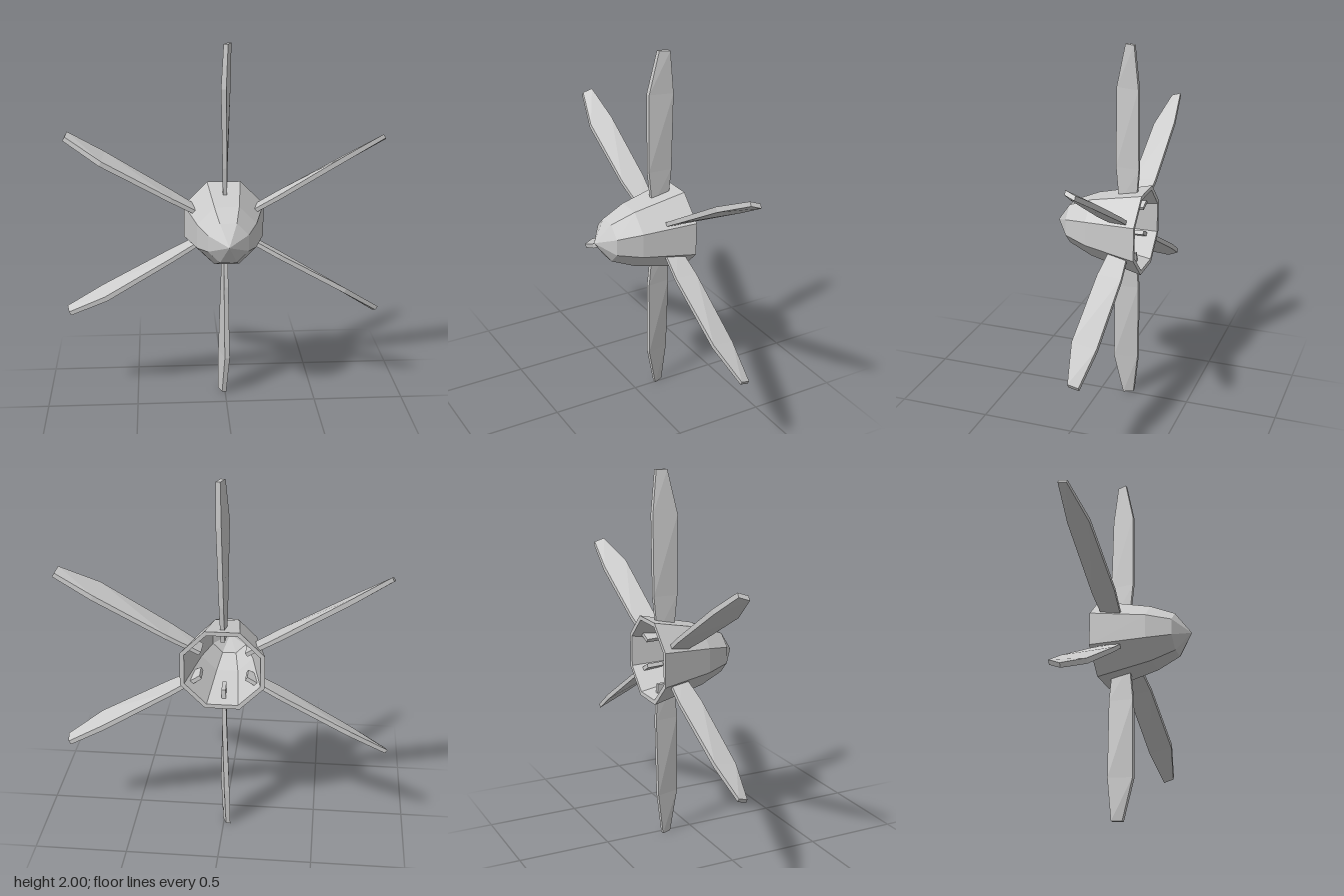
import * as THREE from 'three';

const material = new THREE.MeshStandardMaterial({ color: 0xcccccc, flatShading: true });

// Hollow eight-sided spinner: inner wall down to the rim, then outer wall up to the nose
function makeSpinner() {
  const toCorner = 1 / Math.cos(Math.PI / 8);
  const profile = [
    [0, 0.2], [0.09, 0.15], [0.14, 0.03], [0.2, -0.25],
    [0.223, -0.25], [0.16, 0.04], [0.108, 0.17], [0, 0.25],
  ].map(([flat, z]) => new THREE.Vector2(flat * toCorner, z));
  const geometry = new THREE.LatheGeometry(profile, 8, Math.PI / 8);
  geometry.rotateX(Math.PI / 2);
  return geometry;
}

// Twisted blade along +y, lofted through four-cornered sections
function makeBlade() {
  // radius, front z, back z, front x, back x, half thickness
  const sections = [
    [0.14, -0.1, -0.195, -0.002, 0.002, 0.011],
    [0.34, -0.08, -0.21, -0.004, 0.008, 0.012],
    [0.77, -0.08, -0.207, -0.01, 0.021, 0.014],
    [1.0, -0.13, -0.183, 0.005, 0.026, 0.012],
  ];
  const positions = [];
  const index = [];
  sections.forEach(([r, zf, zb, xf, xb, t], s) => {
    positions.push(xf - t, r, zf, xf + t, r, zf, xb + t, r, zb, xb - t, r, zb);
    if (s === 0) return;
    for (let i = 0; i < 4; i++) {
      const a = (s - 1) * 4 + i;
      const b = (s - 1) * 4 + ((i + 1) % 4);
      index.push(a, b, b + 4, a, b + 4, a + 4);
    }
  });
  const tip = (sections.length - 1) * 4;
  index.push(0, 2, 1, 0, 3, 2, tip, tip + 1, tip + 2, tip, tip + 2, tip + 3);
  const geometry = new THREE.BufferGeometry();
  geometry.setAttribute('position', new THREE.Float32BufferAttribute(positions, 3));
  geometry.setIndex(index);
  geometry.computeVertexNormals();
  return geometry;
}

export function createModel() {
  const model = new THREE.Group();
  model.name = 'propeller';

  const spinner = new THREE.Mesh(makeSpinner(), material);
  spinner.name = 'spinner';
  spinner.position.y = 1;
  model.add(spinner);

  // Six blades around the spinner axis
  const bladeGeometry = makeBlade();
  for (let i = 0; i < 6; i++) {
    const blade = new THREE.Mesh(bladeGeometry, material);
    blade.name = `blade${i + 1}`;
    blade.position.y = 1;
    blade.rotation.z = (i * Math.PI) / 3;
    model.add(blade);
  }
  return model;
}
